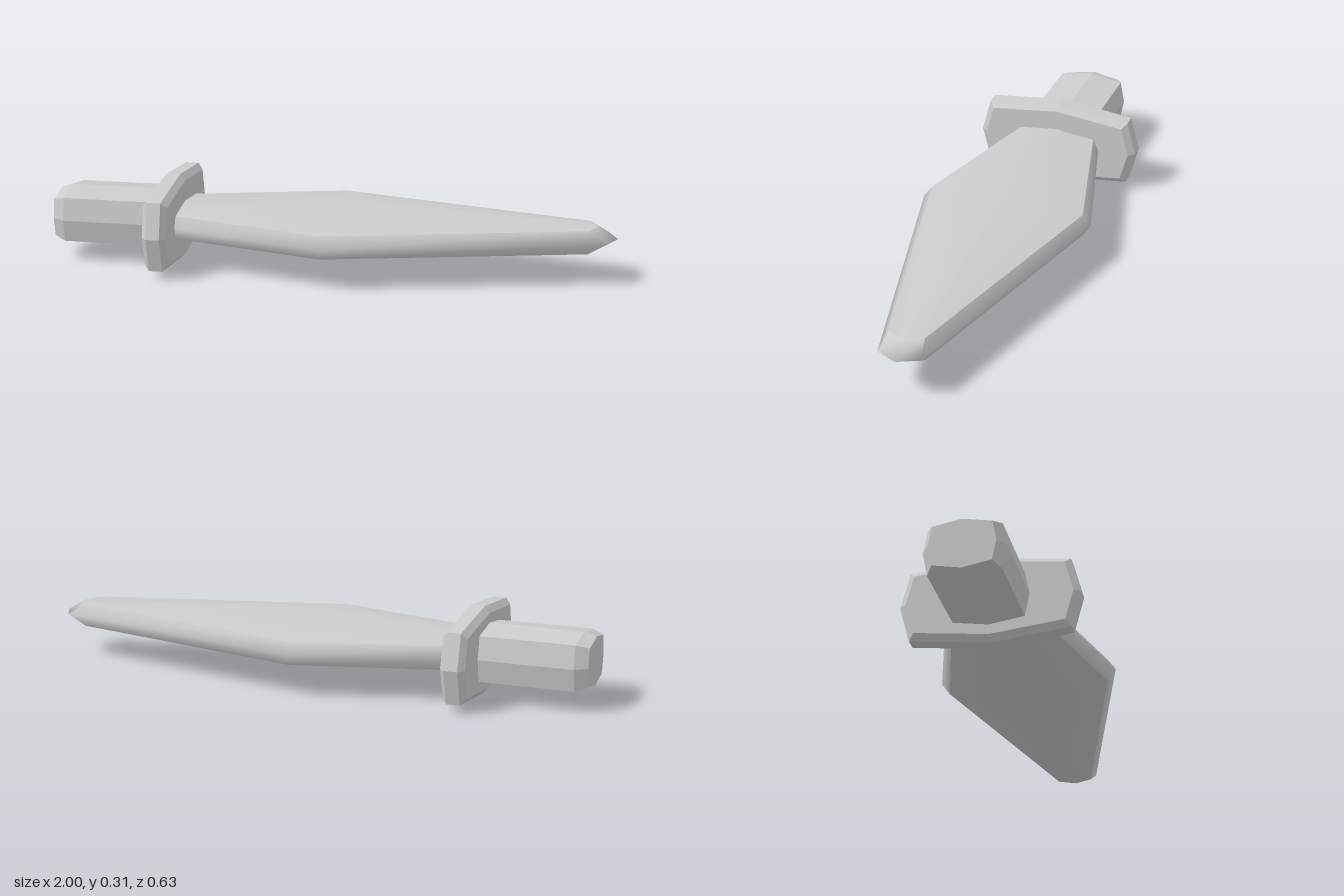
import * as THREE from 'three';

const MID = 0.155; // height of the dagger's long axis

// Surface through rows of [x, y, z] points, y measured from the long axis
function patch(name, rows, flat) {
  const cols = rows[0].length;
  const index = [];
  for (let i = 0; i < rows.length - 1; i++) {
    for (let j = 0; j < cols - 1; j++) {
      const a = i * cols + j, b = a + cols;
      index.push(a, b, a + 1, b, b + 1, a + 1);
    }
  }
  let geo = new THREE.BufferGeometry();
  geo.setAttribute('position', new THREE.Float32BufferAttribute(rows.flat(2), 3));
  geo.setIndex(index);
  if (flat) geo = geo.toNonIndexed();
  geo.computeVertexNormals();
  const mesh = new THREE.Mesh(geo, new THREE.MeshStandardMaterial({ color: 0xcccccc, flatShading: flat }));
  mesh.name = name;
  return mesh;
}

// Eight-sided ring across the axis: peak height, shoulder height and width, side width
function ring(x, [peak, shY, shZ, side]) {
  return [
    [x, peak, 0], [x, shY, -shZ], [x, 0, -side], [x, -shY, -shZ],
    [x, -peak, 0], [x, -shY, shZ], [x, 0, side], [x, shY, shZ], [x, peak, 0],
  ];
}

// Bar along x with closed ends
function bar(name, stations) {
  const rows = stations.map(([x, size]) => ring(x, size));
  const none = [0, 0, 0, 0];
  rows.unshift(ring(stations[0][0], none));
  rows.push(ring(stations[stations.length - 1][0], none));
  return patch(name, rows, true);
}

function createBlade() {
  const blade = new THREE.Group();
  blade.name = 'blade';
  const half = 0.0415; // half thickness at the shoulder of the edge bevel
  const shoulder = [[-0.58, 0.135], [0, 0.285], [0.9, 0.063]];
  const edge = [[-0.58, 0.155], [0, 0.315], [0.965, 0.074]];
  const ridge = [[-0.58, 0.057], [0, 0.0985], [0.93, half]];
  const line = (pts, y, s) => pts.map(([x, z]) => [x, y, s * z]);
  const spine = (s) => ridge.map(([x, y]) => [x, s * y, 0]);

  // Broad faces, swelling towards the middle
  blade.add(patch('bladeTop', [line(shoulder, half, -1), spine(1), line(shoulder, half, 1)], false));
  blade.add(patch('bladeBottom', [line(shoulder, -half, 1), spine(-1), line(shoulder, -half, -1)], false));

  // Bevelled cutting edges
  for (const s of [1, -1]) {
    const rows = [line(shoulder, s * half, s), line(edge, 0, s), line(shoulder, -s * half, s)];
    blade.add(patch(s > 0 ? 'leftEdge' : 'rightEdge', rows, false));
  }

  // Blunt point
  const tip = (x, z, mid, y) => [[x, y, z], [mid, y, 0], [x, y, -z]];
  blade.add(patch('tip', [
    tip(0.9, 0.063, 0.93, half), tip(0.965, 0.074, 1, 0), tip(0.9, 0.063, 0.93, -half),
  ], false));
  return blade;
}

export function createModel() {
  const model = new THREE.Group();
  model.name = 'dagger';

  // Grip with a chamfered end
  const grip = [0.0985, 0.08, 0.12, 0.136];
  model.add(bar('grip', [[-1, [0.086, 0.068, 0.096, 0.11]], [-0.957, grip], [-0.6, grip]]));

  // Guard, chamfered on both sides
  const guard = [0.155, 0.124, 0.271, 0.304];
  const guardFace = [0.133, 0.104, 0.253, 0.281];
  model.add(bar('guard', [[-0.626, guardFace], [-0.607, guard], [-0.559, guard], [-0.54, guardFace]]));

  model.add(createBlade());
  model.children.forEach((part) => { part.position.y = MID; });
  return model;
}
